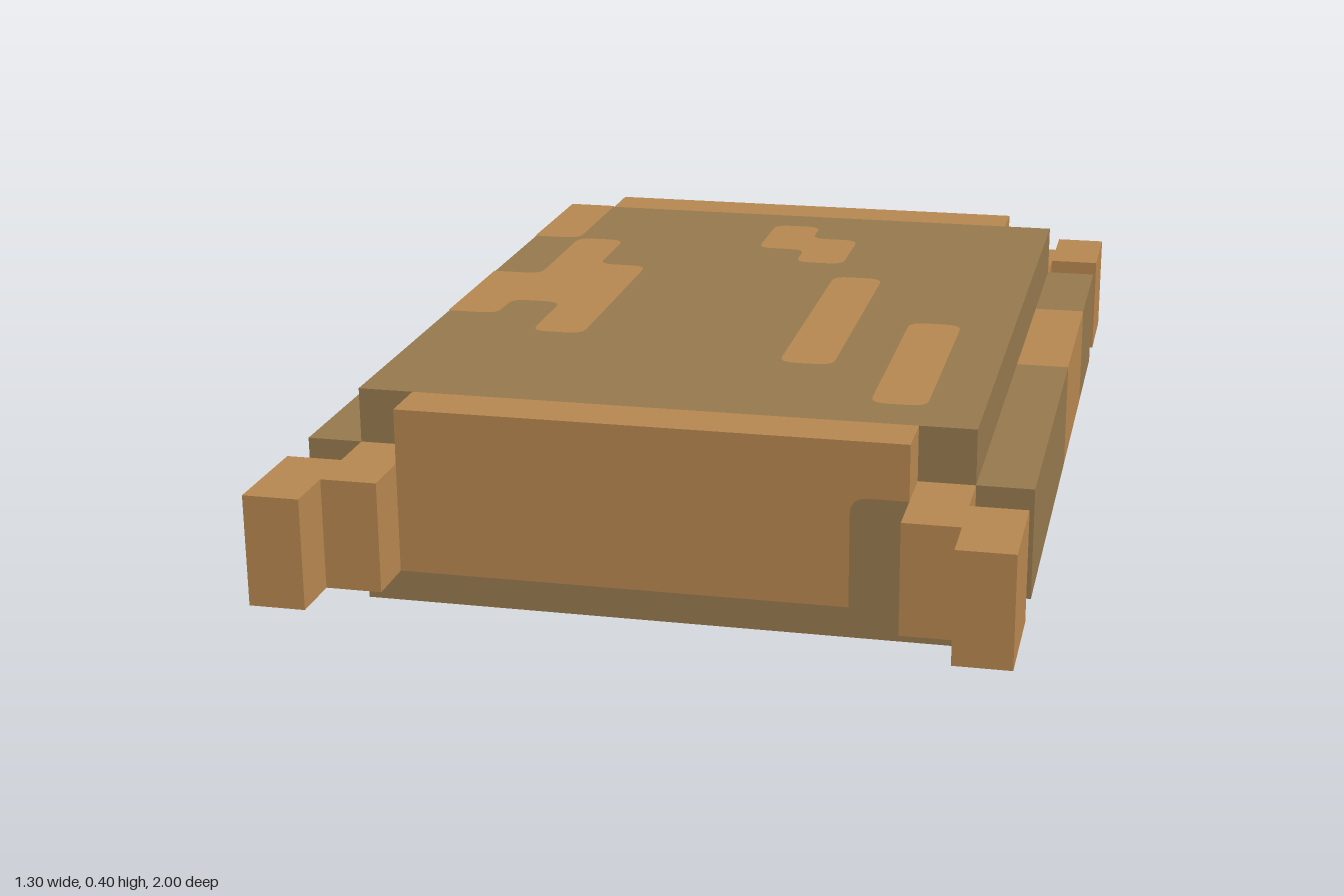
import * as THREE from 'three';

export function createModel() {
  const group = new THREE.Group();
  const tan = new THREE.MeshStandardMaterial({ color: 0xb5864f, name: 'tan' });
  const olive = new THREE.MeshStandardMaterial({ color: 0x95784d, name: 'olive' });

  // box given by its extents on each axis
  function box(name, material, [x0, x1], [y0, y1], [z0, z1]) {
    const mesh = new THREE.Mesh(new THREE.BoxGeometry(x1 - x0, y1 - y0, z1 - z0), material);
    mesh.position.set((x0 + x1) / 2, (y0 + y1) / 2, (z0 + z1) / 2);
    mesh.name = name;
    group.add(mesh);
  }

  // flat outline with softened corners; a third value of 0 keeps a corner sharp
  function patch(name, material, points, place) {
    const shape = new THREE.Shape();
    const n = points.length;
    points.forEach(([x, y, r = 0.03], i) => {
      const corner = new THREE.Vector2(x, y);
      const toward = (p) => new THREE.Vector2(p[0], p[1]).sub(corner).setLength(r).add(corner);
      const a = toward(points[(i + n - 1) % n]);
      const b = toward(points[(i + 1) % n]);
      if (i === 0) shape.moveTo(a.x, a.y);
      else shape.lineTo(a.x, a.y);
      if (r > 0) shape.quadraticCurveTo(x, y, b.x, b.y);
    });
    shape.closePath();
    const mesh = new THREE.Mesh(new THREE.ShapeGeometry(shape, 4), material);
    place(mesh);
    mesh.name = name;
    group.add(mesh);
  }

  // shell slab
  box('shell', olive, [-0.55, 0.55], [0, 0.4], [-0.7, 0.7]);

  // side rails, the left one with a tan section
  box('rightRail', olive, [-0.65, -0.55], [0.1, 0.3], [-0.7, 0.7]);
  box('leftRailFront', olive, [0.55, 0.65], [0.1, 0.3], [0, 0.7]);
  box('leftRailMiddle', tan, [0.55, 0.65], [0.1, 0.3], [-0.4, 0]);
  box('leftRailBack', olive, [0.55, 0.65], [0.1, 0.3], [-0.7, -0.4]);

  // end caps and the stepped corner legs
  const span = (s, a, b) => (s > 0 ? [a, b] : [-b, -a]);
  for (const sz of [1, -1]) {
    box(sz > 0 ? 'frontCap' : 'backCap', tan, [-0.45, 0.45], [0.1, 0.4], span(sz, 0.7, 0.8));
    for (const sx of [1, -1]) {
      const leg = (sz > 0 ? 'front' : 'back') + (sx > 0 ? 'Left' : 'Right') + 'Leg';
      box(leg + 'Inner', tan, span(sx, 0.45, 0.55), [0.1, 0.3], span(sz, 0.7, 0.9));
      box(leg + 'Outer', tan, span(sx, 0.55, 0.65), [0.1, 0.3], span(sz, 0.8, 1));
    }
  }

  // olive corner marks on both caps
  patch('frontCapMark', olive, [[0.35, 0.1, 0], [0.45, 0.1, 0], [0.45, 0.3, 0], [0.35, 0.3]],
    (m) => { m.position.z = 0.802; });
  patch('backCapMark', olive, [[-0.45, 0.1, 0], [-0.35, 0.1, 0], [-0.35, 0.3], [-0.45, 0.3, 0]],
    (m) => { m.position.z = -0.802; m.rotation.y = Math.PI; });

  // tan patches on top, outlined as x, z
  const topPatches = [
    [[-0.55, -0.7, 0], [-0.45, -0.7, 0], [-0.45, -0.4], [-0.55, -0.4, 0]],
    [[-0.45, -0.4], [-0.35, -0.4], [-0.35, -0.2], [-0.25, -0.2], [-0.25, 0.3], [-0.35, 0.3],
      [-0.35, 0.1], [-0.45, 0.1], [-0.45, 0.2], [-0.55, 0.2, 0], [-0.55, -0.1, 0], [-0.45, -0.1]],
    [[-0.05, -0.6], [0.05, -0.6], [0.05, -0.5], [0.15, -0.5], [0.15, -0.3], [0.05, -0.3],
      [0.05, -0.4], [-0.05, -0.4]],
    [[0.15, -0.2], [0.25, -0.2], [0.25, 0.4], [0.15, 0.4]],
    [[0.35, 0.1], [0.45, 0.1], [0.45, 0.6], [0.35, 0.6]],
  ];
  topPatches.forEach((points, i) => {
    patch('topPatch' + (i + 1), tan, points.map(([x, z, r]) => [x, -z, r]),
      (m) => { m.position.y = 0.402; m.rotation.x = -Math.PI / 2; });
  });

  // tan strip along the back of the underside
  patch('bottomPatch', tan, [[-0.55, -0.7, 0], [0.15, -0.7, 0], [0.15, -0.6], [-0.55, -0.6, 0]],
    (m) => { m.position.y = -0.002; m.rotation.x = Math.PI / 2; });

  return group;
}
